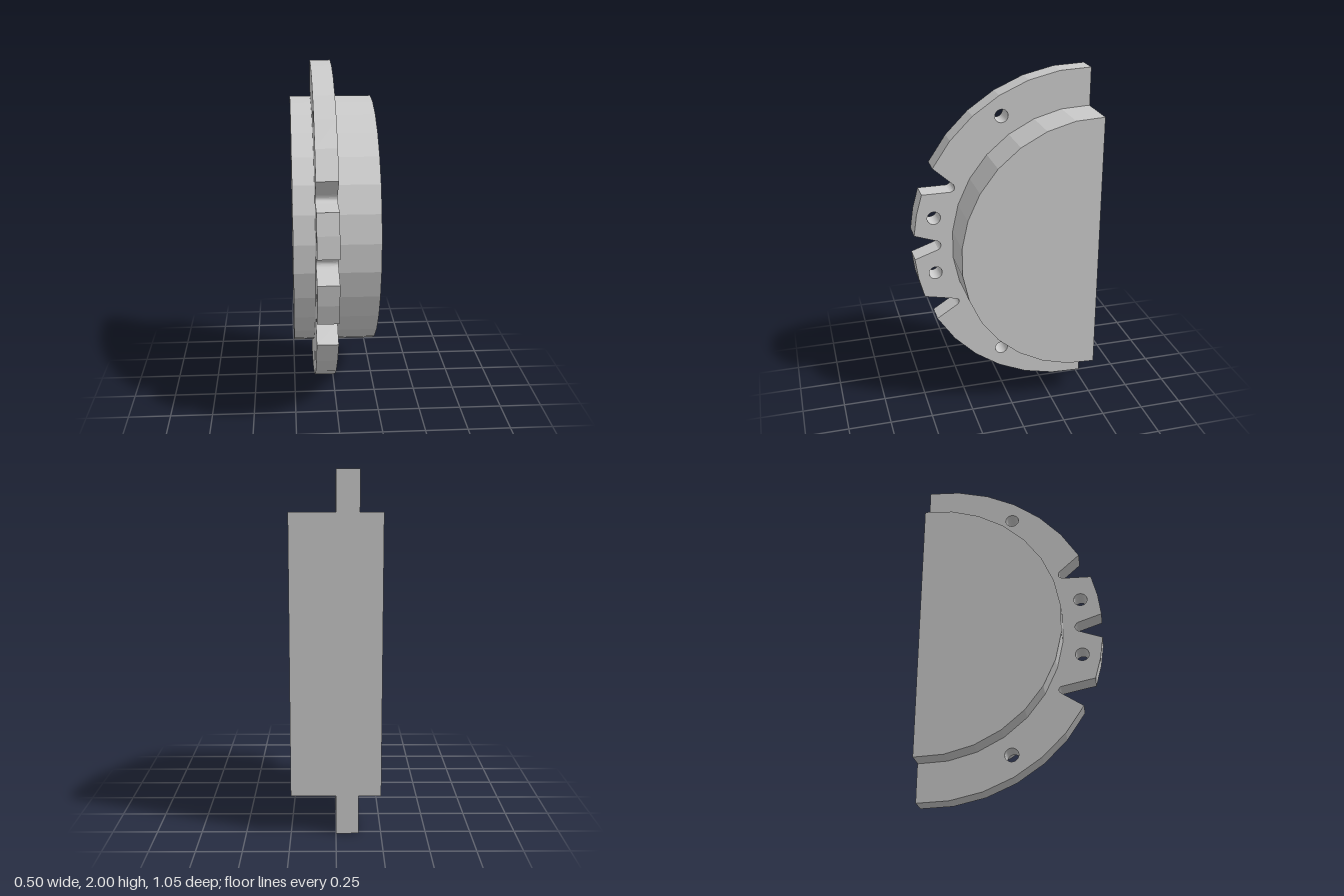
import * as THREE from 'three';

const BACK = -0.523; // flat rear plane
const RAD = Math.PI / 180;

// Point on a circle in the side plane: x of the shape is the model's z
const polar = (cz, r, deg) => new THREE.Vector2(
  Math.max(BACK, cz + r * Math.cos(deg * RAD)), 1 + r * Math.sin(deg * RAD));

// Faceted run of points from one angle to another
function arc(cz, r, from, to, steps) {
  return Array.from({ length: steps + 1 }, (_, i) => polar(cz, r, from + (to - from) * i / steps));
}

// Rounded inner end of a slot, curving from a to b through the tip
function slotEnd(a, tip, b) {
  const ctrl = new THREE.Vector2(2 * tip[0] - (a[0] + b[0]) / 2, 2 * tip[1] - (a[1] + b[1]) / 2);
  return new THREE.QuadraticBezierCurve(new THREE.Vector2(...a), ctrl, new THREE.Vector2(...b)).getPoints(8);
}

// Extrude a side profile between two x positions
function slab(name, shape, x0, x1, material) {
  const geometry = new THREE.ExtrudeGeometry(shape, { depth: x1 - x0, bevelEnabled: false, curveSegments: 24 });
  geometry.rotateY(-Math.PI / 2).translate(x1, 0, 0);
  const mesh = new THREE.Mesh(geometry, material);
  mesh.name = name;
  return mesh;
}

export function createModel() {
  const group = new THREE.Group();
  group.name = 'notchedHalfDisc';
  const material = new THREE.MeshStandardMaterial({ color: 0xcccccc, flatShading: true });

  // Thick half-round drum
  const drum = new THREE.Shape(arc(-0.48, 0.78, -93, 93, 15));
  group.add(slab('drum', drum, -0.25, 0.25, material));

  // Thin flange with three slots, listed from bottom to top
  const flange = new THREE.Shape([
    ...arc(-0.475, 1, -92.9, -28.7, 6),
    ...slotEnd([0.281, 0.597], [0.265, 0.618], [0.276, 0.639]),
    ...arc(-0.475, 1, -18.6, -4, 2),
    ...slotEnd([0.382, 0.979], [0.366, 1.005], [0.382, 1.032]),
    ...arc(-0.475, 1, 4.6, 19.2, 2),
    ...slotEnd([0.302, 1.33], [0.279, 1.345], [0.283, 1.373]),
    ...arc(-0.475, 1, 28.7, 92.9, 6),
  ]);

  // Bolt holes
  for (const [z, y] of [[0, 1.755], [0.403, 1.18], [0.403, 0.83], [0, 0.252]]) {
    const hole = new THREE.Path();
    hole.absarc(z, y, 0.039, 0, Math.PI * 2, true);
    flange.holes.push(hole);
  }
  group.add(slab('flange', flange, -0.125, 0, material));

  return group;
}
